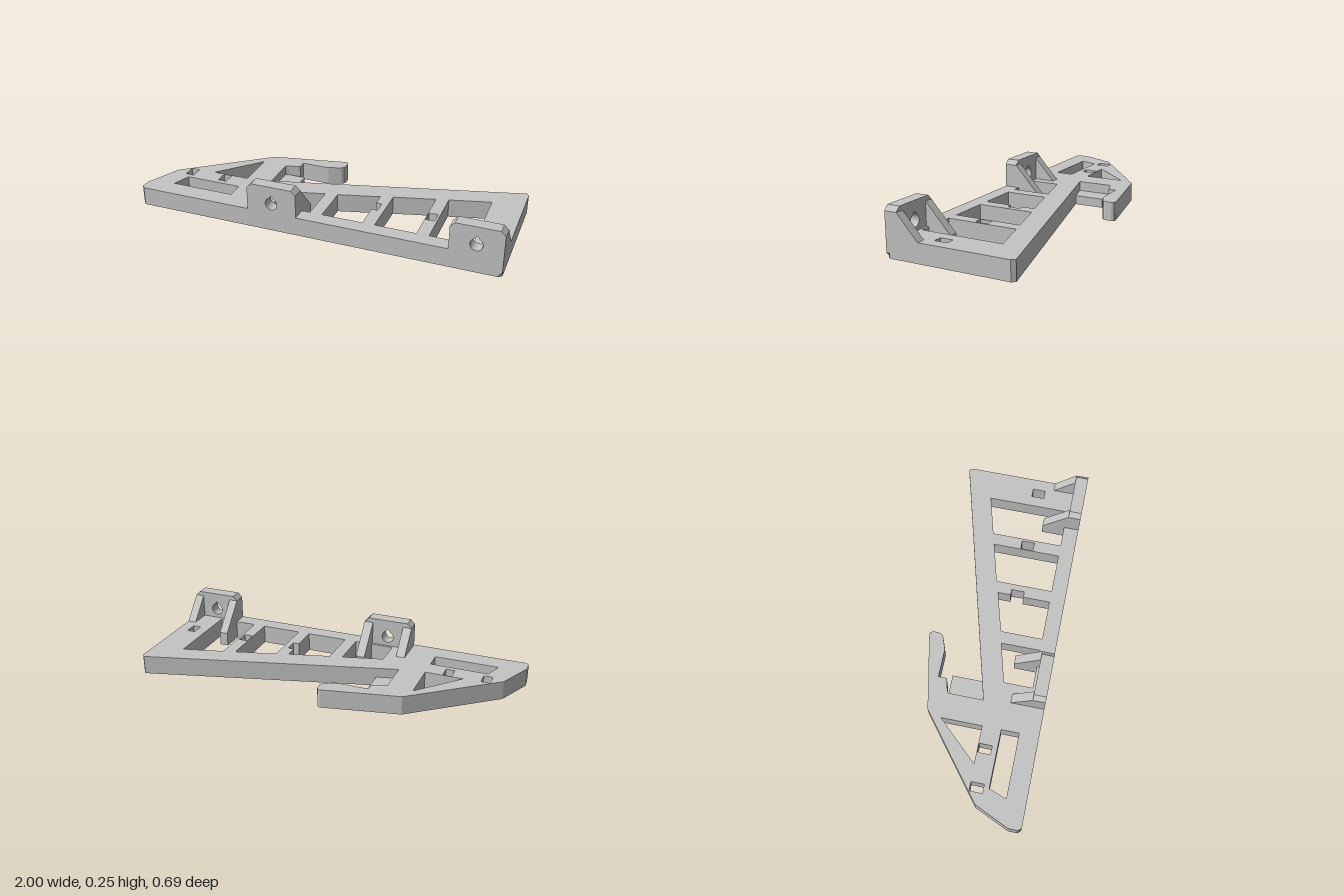
import * as THREE from 'three';
import { ConvexGeometry } from 'three/addons/geometries/ConvexGeometry.js';

const BASE_H = 0.103;
const FRONT = 0.347;
const LUG_Z = 0.279;

// Points are [x, z] for plan outlines, [x, y] for upright ones
const toVectors = (pts, flip) => pts.map(([a, b]) => new THREE.Vector2(a, flip ? -b : b));
const rect = (x0, x1, z0, z1) => [[x0, z0], [x1, z0], [x1, z1], [x0, z1]];

// Flat plate extruded upwards from y = 0; outline runs anticlockwise seen from above
function planPlate(outline, holes, height) {
  const shape = new THREE.Shape(toVectors(outline, true));
  shape.holes = holes.map((h) => new THREE.Path(toVectors(h, true)));
  const geo = new THREE.ExtrudeGeometry(shape, { depth: height, bevelEnabled: false });
  return geo.rotateX(-Math.PI / 2);
}

// Upright lug with clipped top corners and a teardrop hole
function lugGeometry(x0, x1) {
  const top = 0.255, c = 0.025, cx = (x0 + x1) / 2, cy = 0.156, r = 0.033;
  const shape = new THREE.Shape(toVectors([
    [x0, BASE_H], [x1, BASE_H], [x1, top - c], [x1 - c, top], [x0 + c, top], [x0, top - c],
  ]));
  const hole = new THREE.Path();
  hole.moveTo(cx, cy + r * Math.SQRT2);
  for (let i = 0; i <= 16; i++) {
    const a = Math.PI * (0.25 - 1.5 * i / 16);
    hole.lineTo(cx + r * Math.cos(a), cy + r * Math.sin(a));
  }
  hole.closePath();
  shape.holes.push(hole);
  const geo = new THREE.ExtrudeGeometry(shape, { depth: FRONT - LUG_Z, bevelEnabled: false });
  return geo.translate(0, 0, LUG_Z);
}

// Sloping brace behind a lug; a deep one runs down through the opening
function gussetGeometry(x0, x1, deep) {
  const profile = deep
    ? [[LUG_Z, 0], [LUG_Z, 0.23], [0.14, 0.077], [0.14, 0]]
    : [[LUG_Z, BASE_H], [LUG_Z, 0.23], [0.165, BASE_H]];
  const shape = new THREE.Shape(profile.map(([z, y]) => new THREE.Vector2(-z, y)));
  const geo = new THREE.ExtrudeGeometry(shape, { depth: x1 - x0, bevelEnabled: false });
  return geo.rotateY(Math.PI / 2).translate(x0, 0, 0);
}

export function createModel() {
  const model = new THREE.Group();
  model.name = 'bracket';
  const grey = new THREE.MeshStandardMaterial({ color: 0xc4c4c4 });
  grey.name = 'grey plastic';
  const add = (name, geo) => {
    const mesh = new THREE.Mesh(geo, grey);
    mesh.name = name;
    model.add(mesh);
  };

  // Base frame with its hooked arm
  const outline = [
    [-1, 0.33], [-0.984, FRONT], [0.984, FRONT], [1, 0.33], [1, -0.327], [0.985, -0.346],
    [0.975, -0.343], [-0.366, 0.02], [-0.366, -0.172], [-0.35, -0.18], [-0.286, -0.198],
    [-0.286, -0.243], [-0.13, -0.243], [-0.06, -0.268], [-0.046, -0.278], [-0.04, -0.295],
    [-0.04, -0.328], [-0.047, -0.341], [-0.06, -0.346], [-0.473, -0.26], [-0.915, 0.09],
    [-1, 0.28],
  ];
  const holes = [
    [[-0.505, -0.18], [-0.505, 0.042], [-0.71, 0.042]],
    [[-0.82, 0.145], [-0.505, 0.145], [-0.505, 0.241], [-0.855, 0.241]],
    [[-0.248, 0.108], [-0.032, 0.05], [-0.032, 0.264], [-0.248, 0.264]],
    [[0.035, 0.035], [0.257, -0.026], [0.257, 0.045], [0.29, 0.045], [0.29, 0.116],
      [0.257, 0.116], [0.257, 0.264], [0.035, 0.264]],
    [[0.323, -0.047], [0.544, -0.107], [0.544, 0.264], [0.323, 0.264]],
    [[0.61, -0.125], [0.83, -0.184], [0.83, 0.264], [0.61, 0.264]],
  ];
  for (const x of [-0.828, -0.623, 0.573, 0.913]) {
    holes.push(rect(x - 0.024, x + 0.024, 0.046, 0.116));
  }
  add('baseFrame', planPlate(outline, holes, BASE_H));

  // Square front corner above a small relief cut at the foot
  add('frontCorner', new ConvexGeometry([
    [1, BASE_H, 0.33], [0.984, BASE_H, FRONT], [1, BASE_H, FRONT],
    [1, 0.027, 0.33], [0.984, 0.01, FRONT], [1, 0.027, FRONT],
  ].map((p) => new THREE.Vector3(...p))));

  // Low step in the notch behind the beam
  add('notchStep', planPlate([[-0.366, 0.02], [-0.25, -0.011], [-0.25, -0.175], [-0.366, -0.175]], [], 0.05));

  // Two screw lugs, each with a pair of braces
  add('leftLug', lugGeometry(0.728, 1));
  add('rightLug', lugGeometry(-0.352, -0.078));
  add('leftLugOuterBrace', gussetGeometry(0.952, 1, false));
  add('leftLugInnerBrace', gussetGeometry(0.728, 0.776, true));
  add('rightLugOuterBrace', gussetGeometry(-0.352, -0.303, false));
  add('rightLugInnerBrace', gussetGeometry(-0.127, -0.078, true));

  return model;
}
